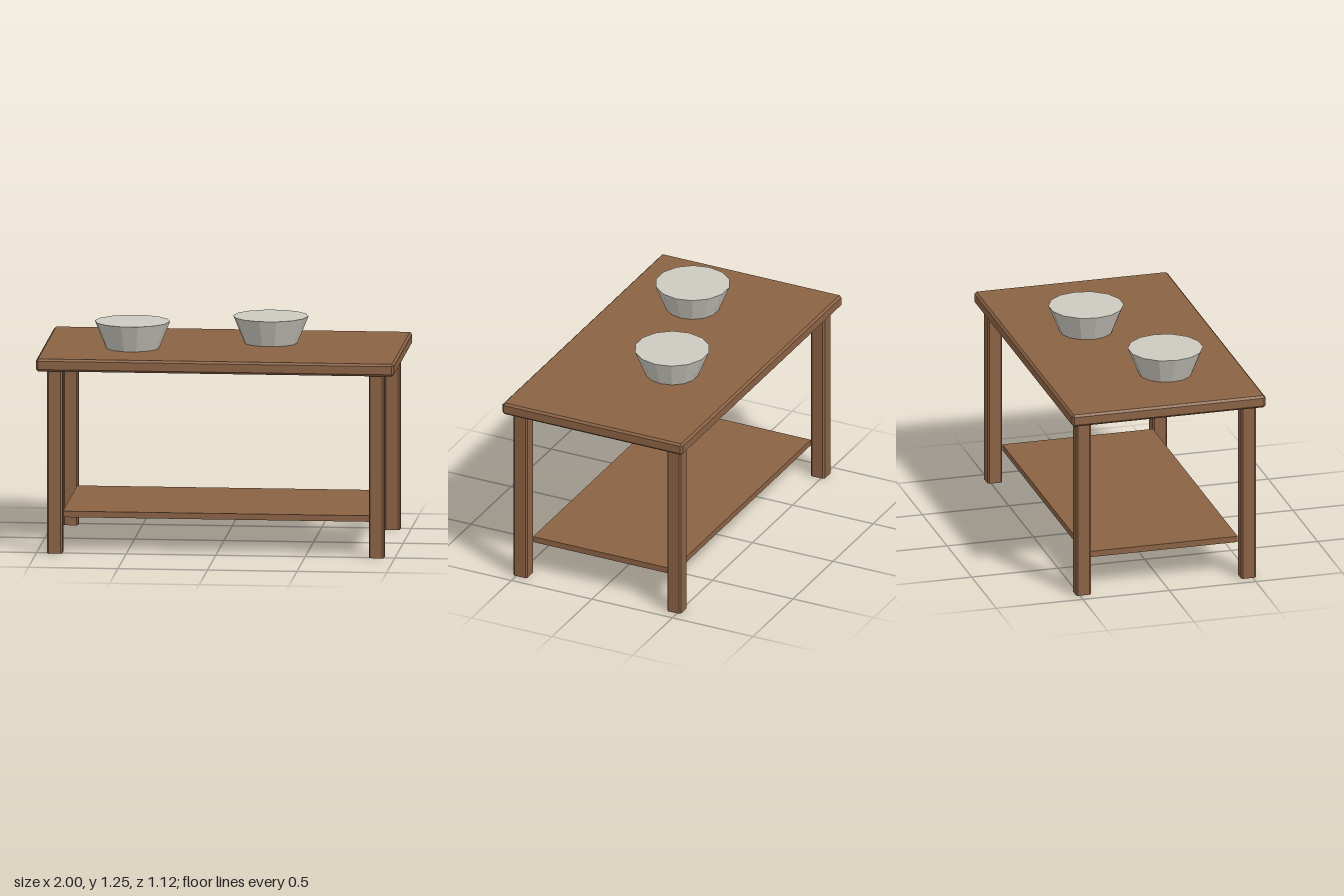
import * as THREE from 'three';
import { ConvexGeometry } from 'three/addons/geometries/ConvexGeometry.js';

// Box with flat chamfers; cy = 0 leaves the horizontal end edges sharp
function chamferedBox(w, h, d, c, cy = c) {
  const points = [];
  for (const sx of [-1, 1]) for (const sy of [-1, 1]) for (const sz of [-1, 1]) {
    const add = (x, y, z) => points.push(new THREE.Vector3(sx * x, sy * y, sz * z));
    add(w / 2 - c, h / 2 - cy, d / 2);
    add(w / 2, h / 2 - cy, d / 2 - c);
    if (cy > 0) add(w / 2 - c, h / 2, d / 2 - c);
  }
  return new ConvexGeometry(points);
}

export function createModel() {
  const model = new THREE.Group();
  model.name = 'table';

  const wood = new THREE.MeshStandardMaterial({ color: 0x8a6244, flatShading: true });
  wood.name = 'brown wood';
  const stone = new THREE.MeshStandardMaterial({ color: 0xcdc9c1, flatShading: true });
  stone.name = 'pale grey';

  const part = (name, geometry, material, x, y, z) => {
    const mesh = new THREE.Mesh(geometry, material);
    mesh.name = name;
    mesh.position.set(x, y, z);
    model.add(mesh);
    return mesh;
  };

  // Bevelled top and plain lower shelf
  part('tableTop', chamferedBox(2, 0.07, 1.12, 0.012), wood, 0, 1.065, 0);
  part('shelf', new THREE.BoxGeometry(1.72, 0.034, 0.87), wood, 0, 0.208, 0);

  // Four legs with chamfered upright edges
  const leg = chamferedBox(0.085, 1.03, 0.085, 0.009, 0);
  for (const [side, x] of [['Left', 0.898], ['Right', -0.898]]) {
    part('front' + side + 'Leg', leg, wood, x, 0.515, 0.477);
    part('back' + side + 'Leg', leg, wood, x, 0.515, -0.477);
  }

  // Two flared, closed bowls
  const bowl = new THREE.CylinderGeometry(0.21, 0.149, 0.15, 14);
  bowl.rotateY(Math.PI / 2);
  part('rightBowl', bowl, stone, -0.5, 1.175, 0.12);
  part('leftBowl', bowl, stone, 0.25, 1.175, -0.125);

  return model;
}
